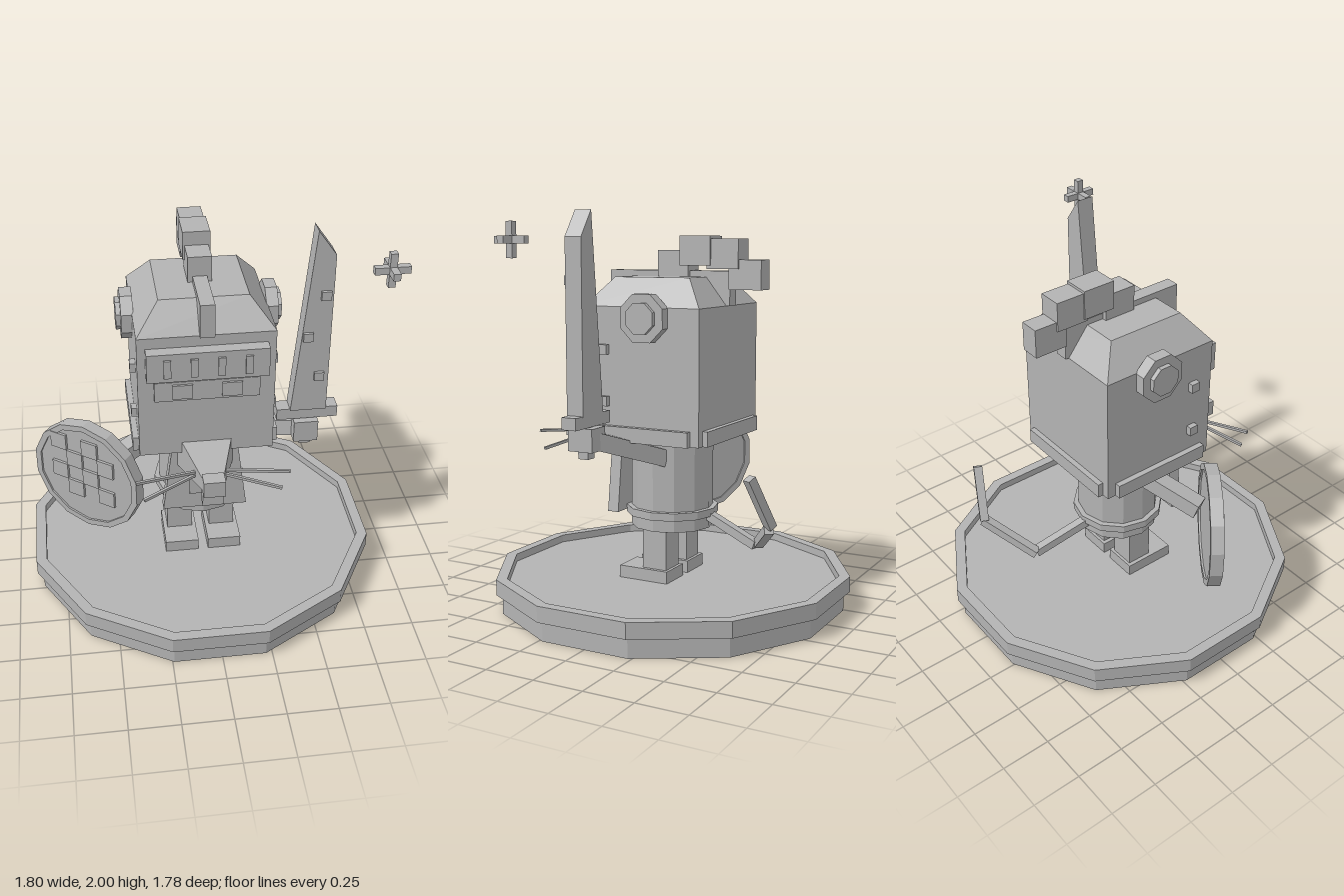
import * as THREE from 'three';

const grey = new THREE.MeshStandardMaterial({ color: 0xb3b3b3, flatShading: true });
grey.name = 'plain grey';

function add(parent, name, geometry, x = 0, y = 0, z = 0) {
  const mesh = new THREE.Mesh(geometry, grey);
  mesh.name = name;
  mesh.position.set(x, y, z);
  parent.add(mesh);
  return mesh;
}

// Box given by its ranges on each axis
function span(parent, name, [x0, x1], [y0, y1], [z0, z1]) {
  return add(parent, name, new THREE.BoxGeometry(x1 - x0, y1 - y0, z1 - z0),
    (x0 + x1) / 2, (y0 + y1) / 2, (z0 + z1) / 2);
}

// Square bar running from a to b
function bar(parent, name, a, b, w) {
  const p = new THREE.Vector3(...a), q = new THREE.Vector3(...b);
  const mesh = add(parent, name, new THREE.BoxGeometry(w, w, p.distanceTo(q)));
  mesh.position.addVectors(p, q).multiplyScalar(0.5);
  mesh.lookAt(q);
  return mesh;
}

// Four-sided frustum, axis on y, with half-widths top and bottom
function frustum(top, bottom, height) {
  return new THREE.CylinderGeometry(top * Math.SQRT2, bottom * Math.SQRT2, height, 4)
    .rotateY(Math.PI / 4);
}

function plate(points, depth) {
  const shape = new THREE.Shape(points.map(p => new THREE.Vector2(...p)));
  return new THREE.ExtrudeGeometry(shape, { depth, bevelEnabled: false });
}

function lathe(points, sides) {
  return new THREE.LatheGeometry(points.map(p => new THREE.Vector2(...p)), sides);
}

export function createModel() {
  const root = new THREE.Group();
  const model = new THREE.Group();
  model.name = 'armouredFigure';
  model.position.x = -0.012;
  root.add(model);

  // Twelve-sided stand with a raised rim
  add(model, 'stand', lathe([[0, 0], [0.89, 0], [0.89, 0.1], [0.921, 0.1], [0.921, 0.18],
    [0.865, 0.18], [0.865, 0.14], [0, 0.14]], 12).rotateY(Math.PI / 12));

  // Legs, boots, torso and belt
  for (const s of [-1, 1]) {
    add(model, 'leg', new THREE.BoxGeometry(0.133, 0.24, 0.133), s * 0.113, 0.3, 0.008);
    add(model, 'boot', new THREE.BoxGeometry(0.175, 0.065, 0.274), s * 0.113, 0.17, 0.063);
  }
  add(model, 'torso', new THREE.CylinderGeometry(0.21, 0.21, 0.49, 12), 0, 0.65, 0);
  add(model, 'belt', new THREE.CylinderGeometry(0.237, 0.237, 0.04, 12), 0, 0.49, 0);
  add(model, 'tabard', plate([[-0.215, 0.485], [0.215, 0.485], [0.165, 0.87], [-0.165, 0.87]], 0.06), 0, 0, 0.2);
  add(model, 'tabardTriangle', plate([[-0.08, 0.58], [0.08, 0.58], [-0.08, 0.72]], 0.012), 0, 0, 0.26);

  // Helmet with sloped crown and lower trim
  const head = new THREE.Group();
  head.name = 'helmet';
  model.add(head);
  span(head, 'helmetBox', [-0.33, 0.33], [0.88, 1.54], [-0.317, 0.317]);
  add(head, 'crown', frustum(0.215, 0.33, 0.14).scale(1, 1, 0.96), 0, 1.61, 0);
  span(head, 'backTrim', [-0.29, 0.29], [0.88, 0.955], [-0.345, -0.31]);
  for (const s of [-1, 1]) {
    add(head, 'sideTrim', new THREE.BoxGeometry(0.035, 0.075, 0.54), s * 0.342, 0.917, 0);
    // Round ear discs
    for (const [r, x, w] of [[0.125, 0.352, 0.06], [0.08, 0.39, 0.03]]) {
      const disc = new THREE.CylinderGeometry(r, r, w, 8).rotateY(Math.PI / 8).rotateZ(Math.PI / 2);
      add(head, 'earDisc', disc, s * x, 1.49, -0.034);
    }
    for (const y of [1.33, 1.075])
      add(head, 'bolt', new THREE.BoxGeometry(0.04, 0.048, 0.048), s * 0.338, y, 0.2);
    add(head, 'mouthPlate', new THREE.BoxGeometry(0.097, 0.075, 0.012), s * 0.119, 1.258, 0.348);
  }

  // Face plates
  span(head, 'visor', [-0.29, 0.29], [1.335, 1.485], [0.31, 0.378]);
  span(head, 'mouthGuard', [-0.253, 0.253], [1.205, 1.31], [0.31, 0.343]);
  for (const x of [-0.193, -0.066, 0.063, 0.193])
    add(head, 'visorSlit', new THREE.BoxGeometry(0.035, 0.095, 0.014), x, 1.408, 0.382);

  // Ridge and plume blocks: half-width, y range, z range
  span(head, 'ridge', [-0.035, 0.035], [1.54, 1.71], [-0.335, 0.34]);
  for (const [w, y, z] of [
    [0.058, [1.66, 1.81], [-0.116, 0.053]],
    [0.067, [1.735, 1.88], [-0.243, -0.074]],
    [0.06, [1.72, 1.867], [-0.39, -0.22]],
    [0.05, [1.62, 1.765], [-0.507, -0.335]],
  ]) span(head, 'plumeBlock', [-w, w], y, z);

  // Snout, nose, tooth and whiskers
  add(model, 'snout', frustum(0.053, 0.148, 0.32).scale(1, 1, 0.68).rotateX(Math.PI / 2), 0, 0.858, 0.39);
  span(model, 'nose', [-0.053, 0.053], [0.825, 0.91], [0.54, 0.617]);
  span(model, 'tooth', [-0.052, 0.052], [0.74, 0.83], [0.525, 0.57]);
  for (const s of [-1, 1]) {
    bar(model, 'whisker', [s * 0.07, 0.87, 0.47], [s * 0.37, 0.904, 0.565], 0.014);
    bar(model, 'whisker', [s * 0.07, 0.85, 0.47], [s * 0.335, 0.803, 0.565], 0.014);
  }

  // Arms
  bar(model, 'rightArm', [-0.13, 0.83, -0.03], [-0.5, 0.705, 0.13], 0.085);
  bar(model, 'leftArm', [0.17, 0.78, -0.04], [0.48, 0.905, 0.18], 0.085);

  // Shield with rim and checkered tiles
  const shield = new THREE.Group();
  shield.name = 'shield';
  shield.position.set(-0.583, 0.655, 0.135);
  shield.rotation.y = -0.63;
  model.add(shield);
  add(shield, 'shieldFace', new THREE.CylinderGeometry(0.29, 0.29, 0.045, 14).rotateX(Math.PI / 2));
  add(shield, 'shieldRim', lathe([[0.28, -0.033], [0.312, -0.033], [0.312, 0.033],
    [0.28, 0.033], [0.28, -0.033]], 14).rotateX(Math.PI / 2));
  for (let row = 0; row < 4; row++)
    for (let col = row % 2; col < 4; col += 2)
      add(shield, 'shieldTile', new THREE.BoxGeometry(0.092, 0.09, 0.016),
        (col - 1.5) * 0.092 - 0.015, (1.5 - row) * 0.09 + 0.043, 0.028);

  // Sword
  const sword = new THREE.Group();
  sword.name = 'sword';
  model.add(sword);
  span(sword, 'hand', [0.447, 0.569], [0.855, 0.97], [0.13, 0.265]);
  span(sword, 'grip', [0.485, 0.542], [0.815, 0.99], [0.17, 0.225]);
  span(sword, 'guard', [0.362, 0.668], [0.975, 1.035], [0.155, 0.235]);
  add(sword, 'blade', plate([[0.427, 1.03], [0.607, 1.03], [0.607, 1.875], [0.517, 2]], 0.09), 0, 0, 0.153);
  for (const [x, y] of [[0.57, 1.672], [0.495, 1.452], [0.559, 1.23]])
    add(sword, 'bladeStud', new THREE.BoxGeometry(0.048, 0.045, 0.03), x, y, 0.244);

  // Jointed tail
  const tail = [[0, 0.485, -0.17], [0.045, 0.365, -0.5], [0.282, 0.52, -0.67], [0.387, 0.78, -0.61]];
  for (let i = 0; i < 3; i++) bar(model, 'tailSegment', tail[i], tail[i + 1], 0.044);

  // Floating sparkle beside the blade tip
  for (const size of [[0.167, 0.034, 0.034], [0.034, 0.167, 0.034], [0.034, 0.034, 0.167]])
    add(model, 'sparkle', new THREE.BoxGeometry(...size), 0.828, 1.86, 0.385);

  return root;
}
